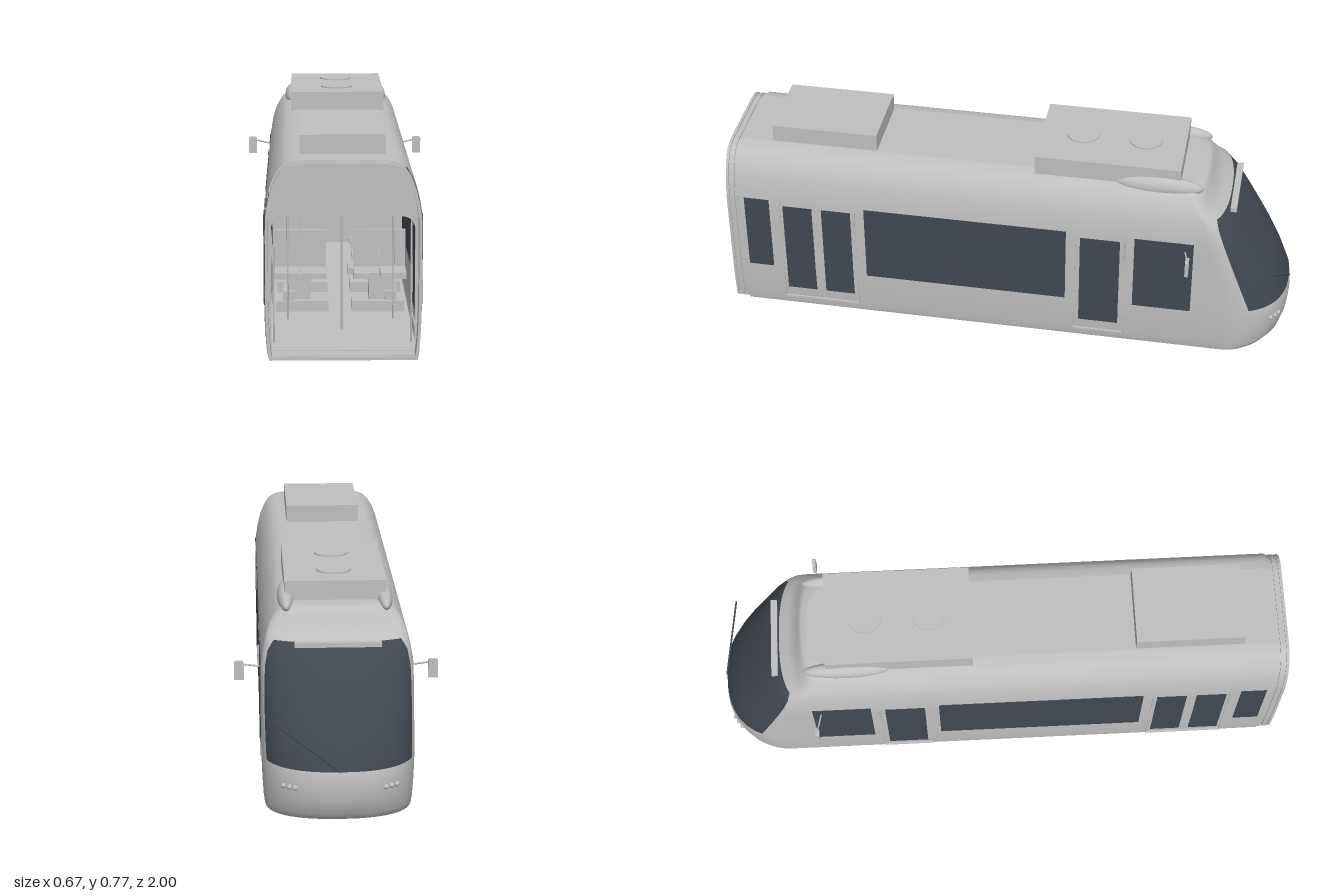
import * as THREE from 'three';

const grey = new THREE.MeshStandardMaterial({ color: 0xbfbfbf, side: THREE.DoubleSide });
grey.name = 'body grey';
const glass = new THREE.MeshStandardMaterial({ color: 0x414850, side: THREE.DoubleSide });
glass.name = 'dark glass';

// Body levels: height, half width, nose tip z, start of nose curve z, windscreen edge z
const LEVELS = [
  [0.065, 0.238, -0.93, -0.77, -0.85], [0.075, 0.241, -0.955, -0.77, -0.86],
  [0.1, 0.244, -0.98, -0.77, -0.87], [0.15, 0.247, -0.995, -0.77, -0.87],
  [0.2, 0.249, -1, -0.77, -0.87], [0.25, 0.25, -0.995, -0.77, -0.87],
  [0.33, 0.25, -0.962, -0.755, -0.84], [0.4, 0.25, -0.925, -0.74, -0.813],
  [0.477, 0.25, -0.877, -0.72, -0.784], [0.53, 0.249, -0.84, -0.71, -0.764],
  [0.58, 0.241, -0.803, -0.7, -0.745], [0.612, 0.233, -0.77, -0.69, -0.735],
  [0.625, 0.229, -0.738, -0.675, -0.72], [0.65, 0.219, -0.715, -0.655, -0.695],
  [0.678, 0.202, -0.7, -0.64, -0.68], [0.692, 0.186, -0.692, -0.63, -0.67],
  [0.7, 0.168, -0.685, -0.62, -0.66], [0.705, 0.14, -0.665, -0.61, -0.64],
];
const END = 0.95, N = 2.4, CURVE = 5, SCREEN = 12;

// Horizontal outline of one level, from the +x end round the nose to the -x end
function outline([, w, tip, start, edge]) {
  const aEdge = Math.asin(Math.pow((edge - start) / (tip - start), N / 2));
  const half = [[w, END], [w, 0]];
  const at = a => half.push([w * Math.pow(Math.max(Math.cos(a), 0), 2 / N),
    start + (tip - start) * Math.pow(Math.sin(a), 2 / N)]);
  for (let i = 0; i < CURVE; i++) at(aEdge * i / CURVE);
  for (let i = 0; i <= SCREEN; i++) at(aEdge + (Math.PI / 2 - aEdge) * i / SCREEN);
  return half.concat(half.slice(0, -1).reverse().map(([x, z]) => [-x, z]));
}

// Cross-section of the car, scaled about its middle
function section(s) {
  const right = LEVELS.map(([y, w]) => new THREE.Vector2(w * s, 0.385 + (y - 0.385) * s));
  return right.concat([...right].reverse().map(p => new THREE.Vector2(-p.x, p.y)));
}

function roundedRect(x, y, w, h, r) {
  const s = new THREE.Shape();
  s.absarc(x + w - r, y + h - r, r, 0, Math.PI / 2);
  s.absarc(x + r, y + h - r, r, Math.PI / 2, Math.PI);
  s.lineTo(x, y).lineTo(x + w, y);
  return s;
}

export function createModel() {
  const model = new THREE.Group();
  const add = (name, geo, mat, x = 0, y = 0, z = 0) => {
    const m = new THREE.Mesh(geo, mat);
    m.name = name;
    m.position.set(x, y, z);
    model.add(m);
    return m;
  };
  // Box given by its limits
  const box = (name, mat, x0, x1, y0, y1, z0, z1) =>
    add(name, new THREE.BoxGeometry(Math.abs(x1 - x0), y1 - y0, Math.abs(z1 - z0)), mat,
      (x0 + x1) / 2, (y0 + y1) / 2, (z0 + z1) / 2);
  const rod = (name, a, b, r, mat = grey) => add(name, new THREE.TubeGeometry(
    new THREE.LineCurve3(new THREE.Vector3(...a), new THREE.Vector3(...b)), 1, r, 8), mat);
  const extrude = (name, shape, z, depth) =>
    add(name, new THREE.ExtrudeGeometry(shape, { depth, bevelEnabled: false }), grey, 0, 0, z);

  // Body shell with the windscreen as its own group of faces
  const rows = LEVELS.map(outline), cols = rows[0].length, pos = [], solid = [], screen = [];
  rows.forEach((row, i) => row.forEach(([x, z]) => pos.push(x, LEVELS[i][0], z)));
  for (let i = 0; i < rows.length - 1; i++) {
    for (let j = 0; j < cols - 1; j++) {
      const a = i * cols + j, b = a + 1, c = b + cols, d = a + cols;
      const isScreen = LEVELS[i][0] >= 0.25 && LEVELS[i + 1][0] <= 0.615
        && j >= 2 + CURVE && j < cols - 3 - CURVE;
      (isScreen ? screen : solid).push(a, b, c, a, c, d);
    }
  }
  const shell = new THREE.BufferGeometry();
  shell.setAttribute('position', new THREE.Float32BufferAttribute(pos, 3));
  shell.setIndex(solid.concat(screen));
  shell.addGroup(0, solid.length, 0);
  shell.addGroup(solid.length, screen.length, 1);
  shell.computeVertexNormals();
  add('bodyShell', shell, [grey, glass]);

  // Underside and roof panels
  const cap = (name, row, y, up) => {
    const shape = new THREE.Shape(row.map(([x, z]) => new THREE.Vector2(x, up ? -z : z)));
    add(name, new THREE.ShapeGeometry(shape).rotateX(up ? -Math.PI / 2 : Math.PI / 2), grey, 0, y, 0);
  };
  cap('underside', rows[0], 0.065, false);
  cap('roofPanel', rows[rows.length - 1], 0.705, true);

  // Ribbed gangway bellows at the open end
  for (let i = 0; i < 5; i++) {
    const ring = new THREE.Shape(section(i % 2 ? 0.97 : 0.985));
    ring.holes.push(new THREE.Path(section(0.95)));
    extrude('gangwayRib', ring, END + i * 0.01, 0.01);
  }
  const portal = new THREE.Shape(section(0.985));
  portal.holes.push(roundedRect(-0.228, 0.085, 0.456, 0.435, 0.04));
  extrude('gangwayPortal', portal, 0.925, 0.01);

  // Interior shell
  box('floor', grey, -0.236, 0.236, 0.07, 0.083, -0.68, 0.99);
  box('ceiling', grey, -0.24, 0.24, 0.525, 0.532, -0.68, 0.925);
  box('cabBulkhead', grey, -0.24, 0.24, 0.08, 0.53, -0.685, -0.68);
  box('cabScreen', glass, -0.17, -0.065, 0.35, 0.425, -0.66, -0.65);
  rod('cabScreenStand', [-0.14, 0.083, -0.66], [-0.14, 0.35, -0.66], 0.003);
  box('displayHousing', grey, -0.065, 0.065, 0.455, 0.505, -0.48, -0.46);
  box('displayPanel', glass, -0.06, 0.06, 0.46, 0.5, -0.46, -0.456);
  rod('centrePole', [0, 0.08, 0.67], [0, 0.525, 0.67], 0.003);

  for (const s of [-1, 1]) {
    // Side windows and door panes: z start, z end, bottom, top
    for (const [z0, z1, y0, y1] of [[0.935, 0.845, 0.235, 0.525], [0.5, -0.22, 0.235, 0.525],
      [-0.46, -0.665, 0.235, 0.525]]) {
      box('sideWindow', glass, s * 0.244, s * 0.252, y0, y1, z0, z1);
    }
    for (const [z0, z1] of [[0.795, 0.69], [0.655, 0.55], [-0.27, -0.41]]) {
      box('doorPane', glass, s * 0.243, s * 0.252, 0.145, 0.505, z0, z1);
    }
    // Door surrounds and sills
    for (const [z0, z1] of [[0.808, 0.536], [-0.252, -0.428]]) {
      for (const z of [z0, z1]) box('doorEdge', grey, s * 0.243, s * 0.2515, 0.1, 0.525, z - 0.002, z + 0.002);
      box('doorSill', grey, s * 0.24, s * 0.251, 0.098, 0.104, z0, z1);
      rod('doorHandle', [s * 0.254, 0.42, z1], [s * 0.254, 0.5, z1], 0.003);
    }
    // Seats and grab poles
    for (const z of [0.38, 0.1, -0.12]) {
      box('seatPlinth', grey, s * 0.04, s * 0.22, 0.083, 0.12, z - 0.07, z + 0.05);
      for (const x of [0.047, 0.139]) {
        box('seatCushion', grey, s * x, s * (x + 0.089), 0.2, 0.22, z - 0.06, z + 0.06);
        box('seatBack', grey, s * x, s * (x + 0.089), 0.2, 0.35, z - 0.06, z - 0.045);
      }
      box('seatPost', grey, s * 0.1, s * 0.18, 0.12, 0.2, z - 0.04, z + 0.02);
    }
    rod('doorPole', [s * 0.178, 0.08, 0.53], [s * 0.178, 0.525, 0.53], 0.003);
    rod('endPole', [s * 0.222, 0.08, 0.83], [s * 0.222, 0.525, 0.83], 0.003);

    // Wheels, wheel covers and track brakes
    for (const z of [0.357, -0.025]) {
      const wheel = new THREE.CylinderGeometry(0.06, 0.06, 0.018, 28).rotateZ(Math.PI / 2);
      add('wheel', wheel, grey, s * 0.158, 0.066, z);
      const flange = new THREE.CylinderGeometry(0.064, 0.064, 0.006, 28).rotateZ(Math.PI / 2);
      add('wheelFlange', flange, grey, s * 0.147, 0.066, z);
      box('wheelCover', grey, s * 0.155, s * 0.195, 0.083, 0.152, z - 0.06, z + 0.06);
    }
    for (const z of [0.262, 0.07]) {
      const disc = new THREE.CylinderGeometry(0.026, 0.026, 0.008, 20).rotateZ(Math.PI / 2);
      add('brakeDisc', disc, grey, s * 0.1, 0.056, z);
      rod('brakeRod', [s * 0.1, 0.056, z], [s * 0.19, 0.056, z], 0.006);
    }

    // Wing mirrors
    rod('mirrorArm', [s * 0.247, 0.49, -0.635], [s * 0.308, 0.502, -0.648], 0.003);
    const mirror = extrude('wingMirror', roundedRect(-0.016, -0.032, 0.032, 0.064, 0.008), 0, 0.012);
    mirror.position.set(s * 0.32, 0.482, -0.656);

    // Headlamp clusters on the nose curve
    for (const x of [0.145, 0.163, 0.181]) {
      const z = -0.77 - 0.229 * Math.pow(1 - Math.pow(x / 0.249, N), 1 / N);
      add('headlamp', new THREE.SphereGeometry(0.009, 14, 10), grey, s * x, 0.19, z);
    }

    // Roof fairings beside the rear unit
    const fairing = add('roofFairing', new THREE.SphereGeometry(1, 24, 16), grey, s * 0.163, 0.7, -0.53);
    fairing.scale.set(0.028, 0.036, 0.15);
  }

  // Traction motors under the floor
  for (const z of [0.235, 0.095]) {
    add('motor', new THREE.CylinderGeometry(0.02, 0.02, 0.15, 20).rotateZ(Math.PI / 2), grey, -0.012, 0.056, z);
  }

  // Roof units and fan covers
  const roofUnit = (hw, top, z0, z1) => box('roofUnit', grey, -hw, hw, 0.695, top, z0, z1);
  roofUnit(0.136, 0.767, 0.845, 0.47);
  roofUnit(0.168, 0.77, -0.095, -0.6);
  for (const z of [-0.24, -0.46]) {
    add('fanCover', new THREE.CylinderGeometry(0.058, 0.058, 0.005, 32), grey, 0, 0.772, z);
  }

  // Lamp bar above the windscreen and wiper
  box('lampBar', grey, -0.14, 0.14, 0.602, 0.618, -0.797, -0.775);
  rod('wiper', [0.0, 0.25, -0.997], [0.225, 0.41, -0.942], 0.003, glass);
  return model;
}
